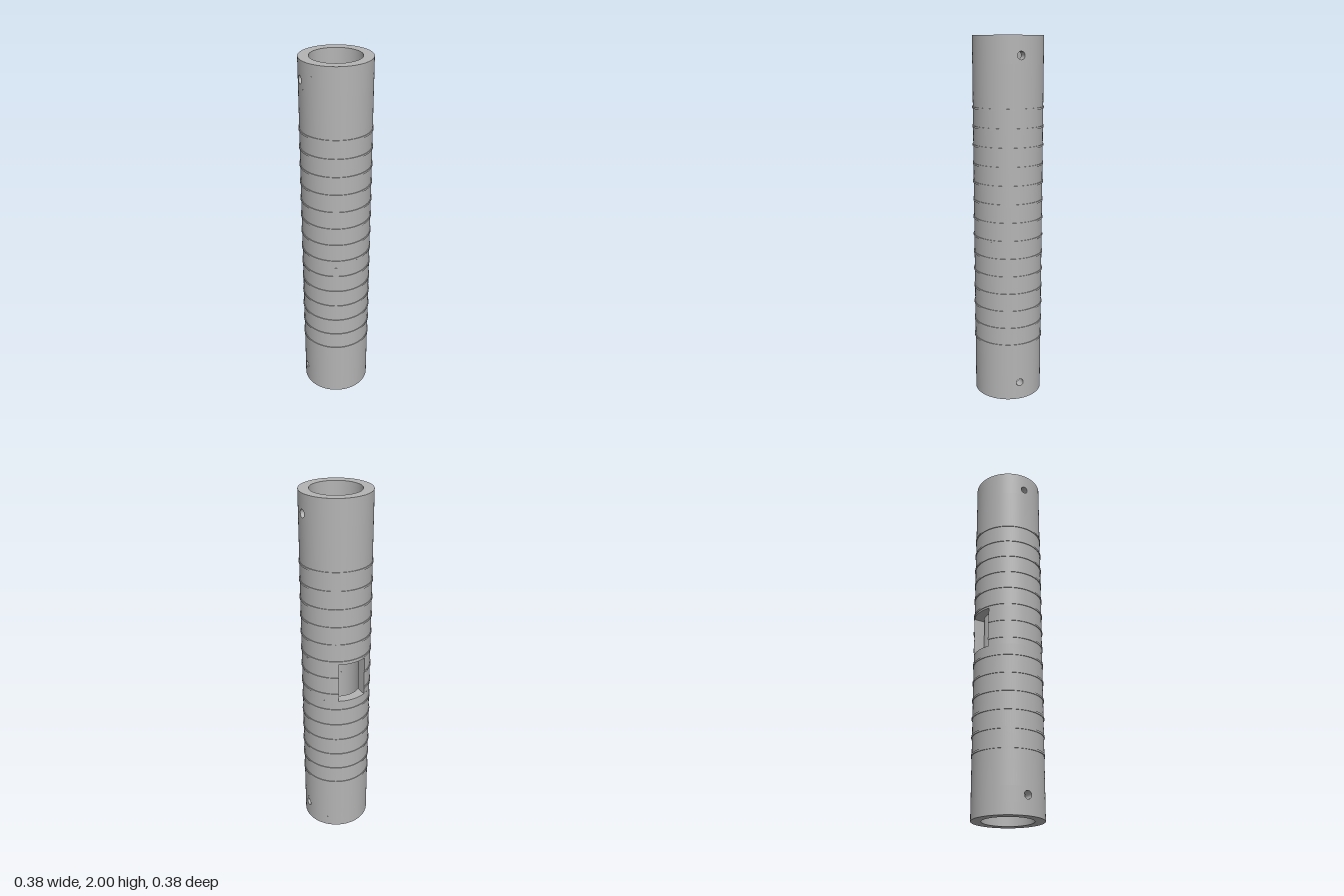
import * as THREE from 'three';
import { ParametricGeometry } from 'three/addons/geometries/ParametricGeometry.js';
import { mergeGeometries } from 'three/addons/utils/BufferGeometryUtils.js';

const RO = 0.188, RI = 0.134, RR = 0.192;      // tube outside, bore, ridge radius
const WIN = { w: 0.08, y0: 0.888, y1: 1.114 }; // back window half-width and heights
const PIN = { r: 0.021, h: 0.04 };             // pin hole radius, half-size of its square patch
const lerp = THREE.MathUtils.lerp;

// Sheet from a rule f(u, v) -> [x, y, z]; flip turns its front round
function sheet(f, nu, nv, flip = false) {
  return new ParametricGeometry((u, v, t) => t.set(...f(flip ? 1 - u : u, v)), nu, nv);
}

// Upright curved wall between two angles (0 = front, PI = back)
function arc(R, a0, a1, y0, y1, flip) {
  const n = Math.max(4, Math.ceil((a1 - a0) / (Math.PI * 2) * 96));
  return sheet((u, v) => {
    const a = lerp(a0, a1, u);
    return [R * Math.sin(a), lerp(y0, y1, v), R * Math.cos(a)];
  }, n, 1, flip);
}

// Flat ring facing down, or up when flipped
function annulus(y, r0, r1, up, gap = 0) {
  return sheet((u, v) => {
    const a = lerp(gap - Math.PI, Math.PI - gap, u), r = lerp(r0, r1, v);
    return [r * Math.sin(a), y, r * Math.cos(a)];
  }, 96, 1, !up);
}

// Tube band with a pin hole through both sides
function pinBand(yc) {
  const parts = [];
  for (const R of [RO, RI]) {
    const inner = R === RI, a = Math.asin(PIN.h / R), q = Math.PI / 2;
    parts.push(arc(R, a - q, q - a, yc - PIN.h, yc + PIN.h, inner));
    parts.push(arc(R, q + a, 3 * q - a, yc - PIN.h, yc + PIN.h, inner));
    for (const s of [-1, 1]) {
      parts.push(sheet((u, v) => {
        const c = Math.cos(u * 2 * Math.PI), d = Math.sin(u * 2 * Math.PI);
        const r = lerp(PIN.h / Math.max(Math.abs(c), Math.abs(d)), PIN.r, v), z = -s * r * c;
        return [s * Math.sqrt(R * R - z * z), yc + r * d, z];
      }, 48, 4, inner));
    }
  }
  // Hole walls
  for (const s of [-1, 1]) {
    parts.push(sheet((u, v) => {
      const p = u * 2 * Math.PI, z = -s * PIN.r * Math.cos(p), R = lerp(RI, RO, v);
      return [s * Math.sqrt(R * R - z * z), yc + PIN.r * Math.sin(p), z];
    }, 48, 1, true));
  }
  return parts;
}

// Tube band with the window cut through the back wall
function windowBand() {
  const { w, y0, y1 } = WIN, parts = [];
  for (const R of [RO, RI]) {
    const a = Math.asin(w / R);
    parts.push(arc(R, a - Math.PI, Math.PI - a, y0, y1, R === RI));
  }
  const back = (x, v) => -Math.sqrt(lerp(RI, RO, v) ** 2 - x * x);
  for (const [y, flip] of [[y0, false], [y1, true]]) {
    parts.push(sheet((u, v) => {
      const x = lerp(-w, w, u);
      return [x, y, back(x, v)];
    }, 16, 1, flip));
  }
  for (const x of [-w, w]) {
    parts.push(sheet((u, v) => [x, lerp(y0, y1, u), back(x, v)], 1, 1, x < 0));
  }
  return parts;
}

// Plain tube band
const plainBand = (y0, y1) => [
  arc(RO, -Math.PI, Math.PI, y0, y1, false),
  arc(RI, -Math.PI, Math.PI, y0, y1, true),
];

export function createModel() {
  const group = new THREE.Group();
  group.name = 'tube';
  const grey = new THREE.MeshStandardMaterial({ color: 0xb4b4b4, side: THREE.DoubleSide });
  grey.name = 'grey';
  const add = (name, parts) => {
    const mesh = new THREE.Mesh(mergeGeometries(parts), grey);
    mesh.name = name;
    group.add(mesh);
  };

  const lo = 0.1, hi = 1.9;
  add('lowerTube', [...plainBand(0, lo - PIN.h), ...plainBand(lo + PIN.h, WIN.y0)]);
  add('upperTube', [...plainBand(WIN.y1, hi - PIN.h), ...plainBand(hi + PIN.h, 2)]);
  add('lowerPinHoles', pinBand(lo));
  add('upperPinHoles', pinBand(hi));
  add('windowSection', windowBand());
  add('bottomRim', [annulus(0, RI, RO, false)]);
  add('topRim', [annulus(2, RI, RO, true)]);

  // Thin ridges round the middle, broken at the window
  for (let i = 0; i < 14; i++) {
    const y = 0.33 + i * 0.1, h = 0.005;
    const gap = y > WIN.y0 && y < WIN.y1 ? Math.asin(WIN.w / RR) : 0;
    add('ridge' + (i + 1), [
      arc(RR, gap - Math.PI, Math.PI - gap, y - h, y + h, false),
      annulus(y - h, RO, RR, false, gap),
      annulus(y + h, RO, RR, true, gap),
    ]);
  }
  return group;
}
